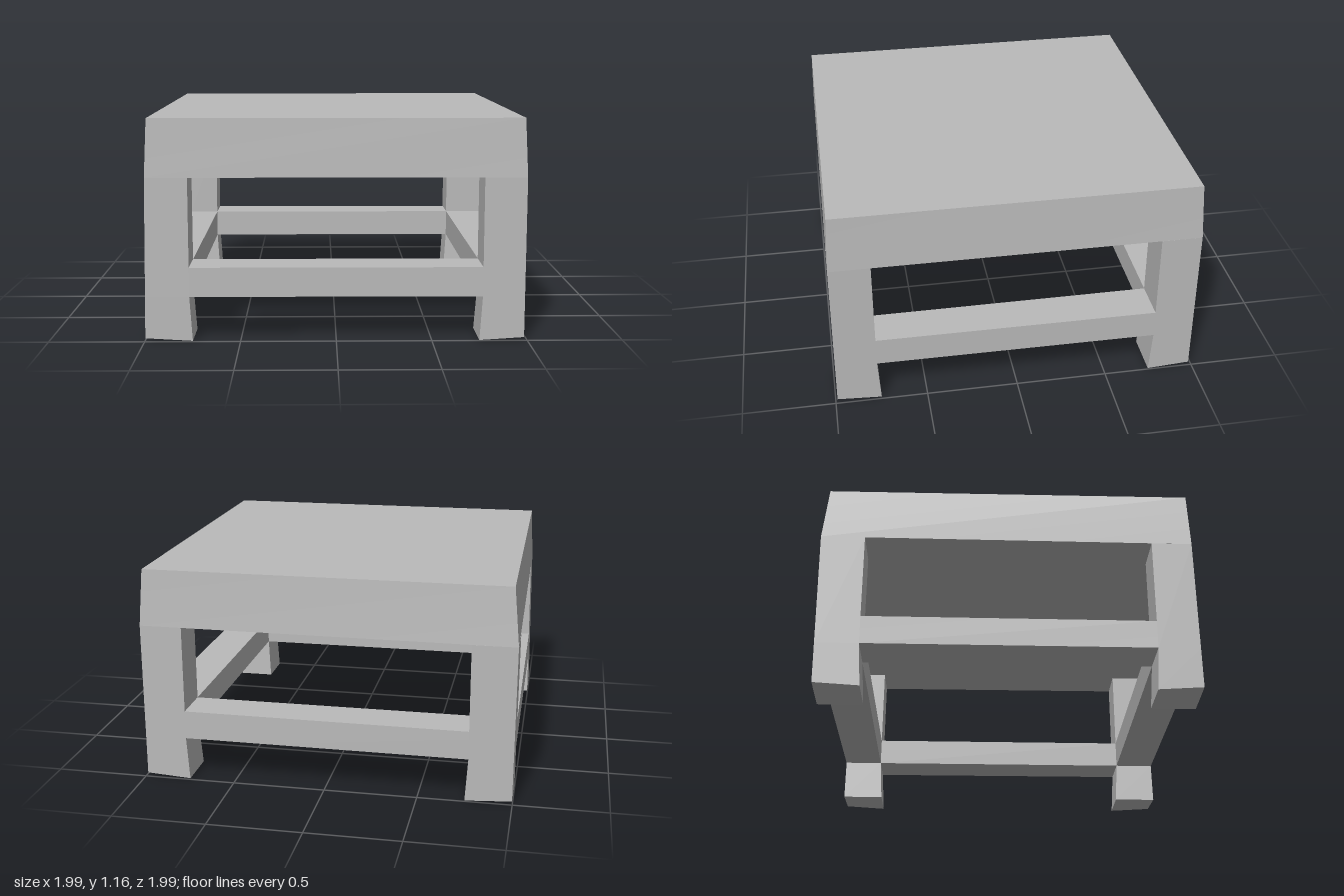
import * as THREE from 'three';
import { mergeGeometries } from 'three/addons/utils/BufferGeometryUtils.js';

const TOP = 1.165, UNDER = 0.86, RAIL_TOP = 0.39, RAIL_LOW = 0.235, INNER = 0.765;

// Outer corner outlines as [x, z] at the floor, under the top slab, and at the top
const CORNERS = {
  '1,1': [[0.985, 0.99], [0.985, 0.985], [0.97, 0.97]],
  '-1,1': [[0.998, 0.985], [0.985, 0.98], [0.97, 0.97]],
  '1,-1': [[0.992, 0.985], [0.992, 0.985], [0.97, 0.97]],
  '-1,-1': [[0.998, 0.99], [1.0, 0.998], [0.97, 0.97]],
};

// Outer corner position at a given height
function outer(sx, sz, y) {
  const [a, b, c] = CORNERS[`${sx},${sz}`];
  const [p, q, t] = y <= UNDER
    ? [a, b, y / UNDER]
    : [b, c, (y - UNDER) / (TOP - UNDER)];
  return [sx * (p[0] + (q[0] - p[0]) * t), sz * (p[1] + (q[1] - p[1]) * t)];
}

// Six-sided block whose corners are placed by a rule taking the corner signs
function block(rule) {
  const geometry = new THREE.BoxGeometry(2, 2, 2);
  const pos = geometry.attributes.position;
  for (let i = 0; i < pos.count; i++) {
    pos.setXYZ(i, ...rule(pos.getX(i), pos.getY(i), pos.getZ(i)));
  }
  geometry.computeVertexNormals();
  return geometry;
}

// Section of a leg between two heights, with its own inner offset at each
function legSection(sx, sz, low, high, innerLow, innerHigh) {
  return block((x, up, z) => {
    const y = up > 0 ? high : low;
    const inner = up > 0 ? innerHigh : innerLow;
    const [ox, oz] = outer(sx, sz, y);
    const outside = x === sx && z === sz;
    return [
      x === sx ? ox : sx * inner,
      y === 0 && outside ? 0.015 : y,
      z === sz ? oz : sz * inner,
    ];
  });
}

export function createModel() {
  const group = new THREE.Group();
  const grey = new THREE.MeshStandardMaterial({ color: 0xbababa });
  grey.name = 'plain grey';

  const add = (name, geometry) => {
    const mesh = new THREE.Mesh(geometry, grey);
    mesh.name = name;
    group.add(mesh);
  };

  // Thick solid top, narrowing slightly upward
  add('tableTop', block((x, up, z) => {
    const y = up > 0 ? TOP : UNDER;
    const [ox, oz] = outer(x, z, y);
    return [ox, y, oz];
  }));

  // Four square legs with a small flare at the foot
  for (const sx of [1, -1]) {
    for (const sz of [1, -1]) {
      const name = (sz > 0 ? 'front' : 'back') + (sx > 0 ? 'Left' : 'Right') + 'Leg';
      add(name, mergeGeometries([
        legSection(sx, sz, 0, RAIL_LOW, 0.75, INNER),
        legSection(sx, sz, RAIL_LOW, UNDER, INNER, INNER),
      ]));
    }
  }

  // Stretcher rails, flush with the outside of the legs and equally deep
  for (const s of [1, -1]) {
    add(s > 0 ? 'frontRail' : 'backRail', block((x, up, z) => {
      const y = up > 0 ? RAIL_TOP : RAIL_LOW;
      return [x * INNER, y, z === s ? outer(x, s, y)[1] : s * INNER];
    }));
    add(s > 0 ? 'leftRail' : 'rightRail', block((x, up, z) => {
      const y = up > 0 ? RAIL_TOP : RAIL_LOW;
      return [x === s ? outer(s, z, y)[0] : s * INNER, y, z * INNER];
    }));
  }

  return group;
}
